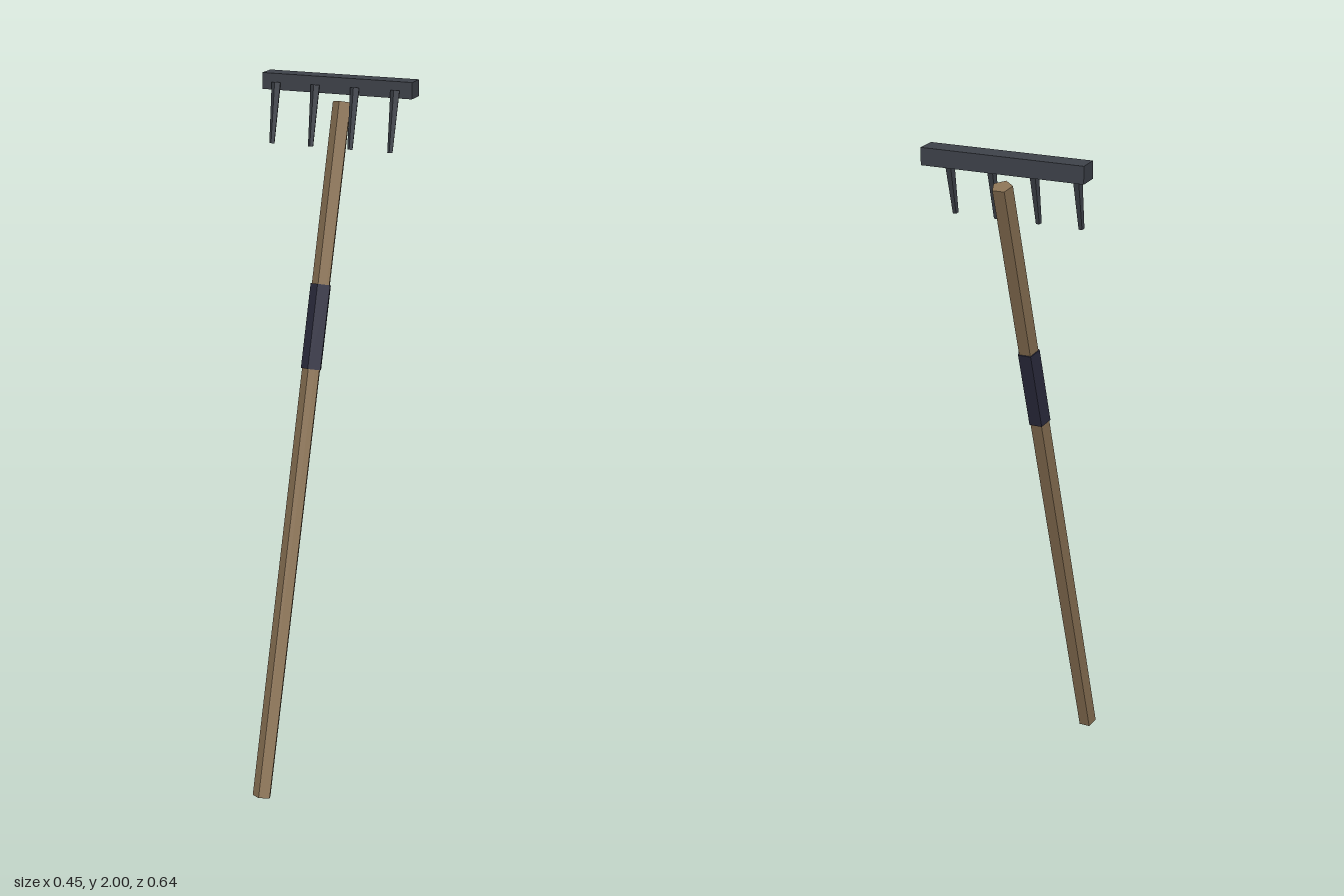
import * as THREE from 'three';

const paint = (color) => new THREE.MeshStandardMaterial({ color, flatShading: true });

// Five-sided rod with one edge facing forward
function rod(name, topRadius, bottomRadius, length, material) {
  const mesh = new THREE.Mesh(
    new THREE.CylinderGeometry(topRadius, bottomRadius, length, 5), material);
  mesh.name = name;
  return mesh;
}

export function createModel() {
  const rake = new THREE.Group();
  rake.name = 'rake';
  const wood = paint(0x8b7355);
  const wrap = paint(0x2d2d40);
  const metal = paint(0x3f434b);

  // Leaning pole: handle and grip share one tilted axis starting at the foot
  const pole = new THREE.Group();
  pole.name = 'pole';
  pole.position.set(0, 0.007, 0.293);
  pole.rotation.x = -0.3;
  const handle = rod('handle', 0.028, 0.028, 2.005, wood);
  handle.position.y = 1.0025;
  const grip = rod('grip', 0.0315, 0.0315, 0.242, wrap);
  grip.position.y = 1.37;
  pole.add(handle, grip);
  rake.add(pole);

  // Upright rake head with four tapered tines in front
  const head = new THREE.Group();
  head.name = 'head';
  const bar = new THREE.Mesh(new THREE.BoxGeometry(0.448, 0.046, 0.058), metal);
  bar.name = 'headBar';
  bar.position.set(0, 1.977, -0.276);
  head.add(bar);
  for (let i = 0; i < 4; i++) {
    const tine = rod('tine', 0.014, 0.008, 0.17, metal);
    tine.position.set((i - 1.5) * 0.1185, 1.893, -0.225);
    tine.rotation.x = -0.2;
    head.add(tine);
  }
  rake.add(head);

  return rake;
}
